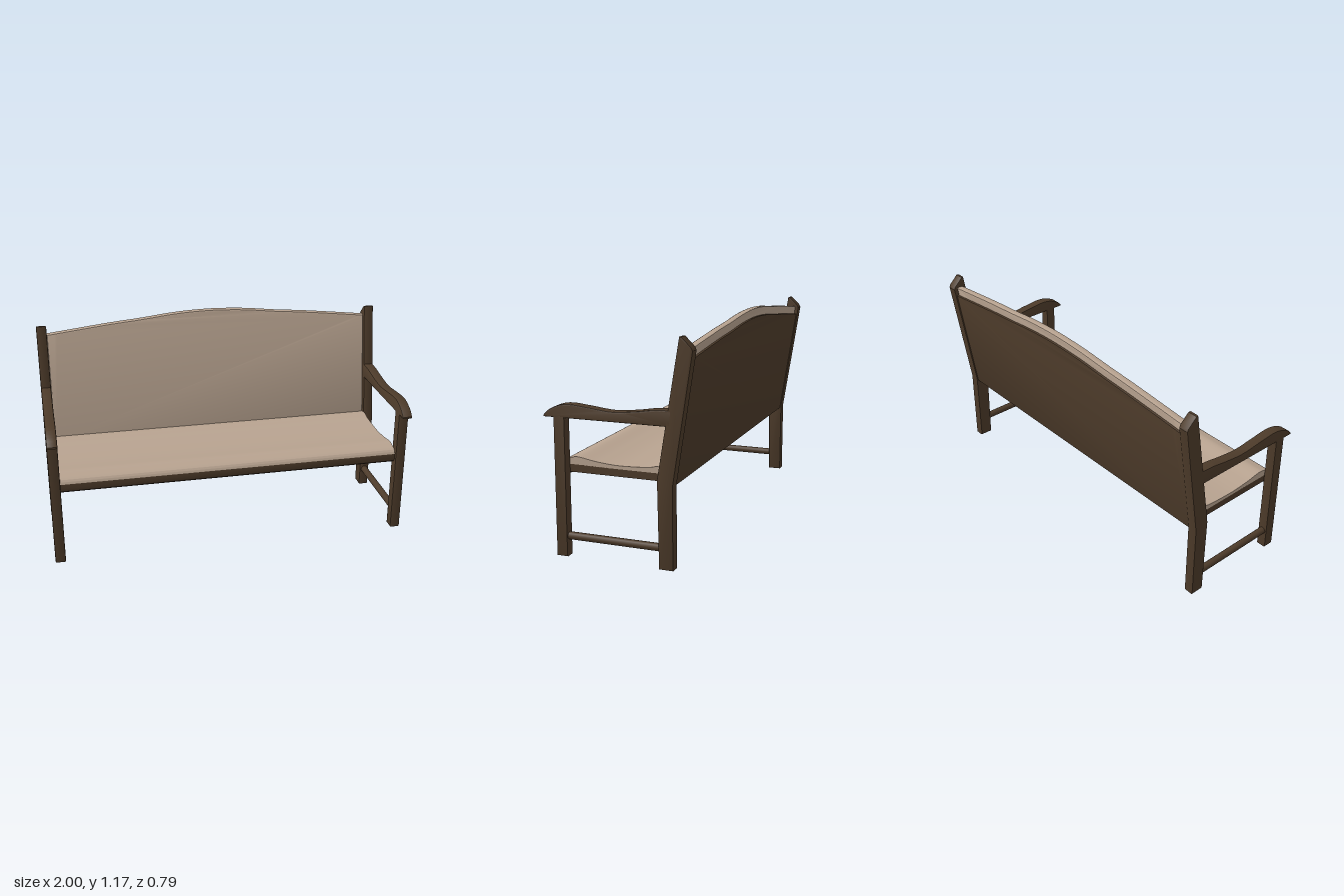
import * as THREE from 'three';
import { toCreasedNormals } from 'three/addons/utils/BufferGeometryUtils.js';

const WIDTH = 2, POST = 0.057, INNER = WIDTH / 2 - POST;
const LEAN = 0.153; // backward lean of the backrest per unit of height

const wood = new THREE.MeshStandardMaterial({ color: 0x4d3b2a });
wood.name = 'darkWood';
const fabric = new THREE.MeshStandardMaterial({ color: 0xb8a390 });
fabric.name = 'beigeFabric';

// Extrude a shape inside its outline with softened edges
function extrude(shape, depth, bevel) {
  const geometry = new THREE.ExtrudeGeometry(shape, {
    depth: depth - 2 * bevel, curveSegments: 20,
    bevelEnabled: bevel > 0, bevelThickness: bevel, bevelSize: bevel,
    bevelOffset: -bevel, bevelSegments: 2,
  });
  return geometry.translate(0, 0, bevel);
}

// Extrude a side profile given in (z, y) from x1 leftwards to x0
function sideExtrude(shape, x0, x1, bevel) {
  const geometry = extrude(shape, x1 - x0, bevel);
  geometry.rotateY(-Math.PI / 2).translate(x1, 0, 0);
  return toCreasedNormals(geometry, 0.6);
}

function polygon(points) {
  return new THREE.Shape(points.map(([z, y]) => new THREE.Vector2(z, y)));
}

// Smooth upper contour closed by straight lower corners
function contour(upper, lower) {
  const shape = new THREE.Shape();
  shape.moveTo(...upper[0]);
  shape.splineThru(upper.slice(1).map(([a, b]) => new THREE.Vector2(a, b)));
  lower.forEach(([a, b]) => shape.lineTo(a, b));
  shape.closePath();
  return shape;
}

function add(parent, name, geometry, material) {
  const mesh = new THREE.Mesh(geometry, material);
  mesh.name = name;
  parent.add(mesh);
  return mesh;
}

// Arched slab leaning backwards; front is its z at seat level
function backSlab(bottom, drop, front, thickness, bevel) {
  const half = [[0, 1.175], [0.2, 1.167], [0.4, 1.146], [0.6, 1.128], [INNER, 1.09]];
  const arch = [
    ...half.slice(1).reverse().map(([x, y]) => [-x, y - drop]),
    ...half.map(([x, y]) => [x, y - drop]),
  ];
  const geometry = extrude(contour(arch, [[INNER, bottom], [-INNER, bottom]]), thickness, bevel);
  geometry.translate(0, 0, front - thickness);
  const p = geometry.attributes.position;
  for (let i = 0; i < p.count; i++) {
    p.setZ(i, p.getZ(i) - (p.getY(i) - 0.43) * LEAN);
  }
  return toCreasedNormals(geometry, 0.6);
}

export function createModel() {
  const bench = new THREE.Group();
  bench.name = 'bench';

  const frontLeg = polygon([[0.28, 0], [0.34, 0], [0.34, 0.725], [0.28, 0.725]]);
  const rearPost = polygon([
    [-0.29, 0], [-0.215, 0], [-0.207, 0.45], [-0.322, 1.145],
    [-0.335, 1.145], [-0.383, 1.098], [-0.391, 1.082], [-0.29, 0.43],
  ]);
  const armrest = contour([
    [0.395, 0.725], [0.36, 0.756], [0.3, 0.781], [0.24, 0.787], [0.15, 0.779],
    [0.02, 0.767], [-0.1, 0.778], [-0.19, 0.792], [-0.28, 0.797],
  ], [[-0.28, 0.715], [0.395, 0.715]]);

  // End frames: legs, armrest and stretcher on each side
  for (const [name, x0, x1] of [['left', INNER, 1], ['right', -1, -INNER]]) {
    const frame = new THREE.Group();
    frame.name = name + 'EndFrame';
    add(frame, 'frontLeg', sideExtrude(frontLeg, x0, x1, 0.006), wood);
    add(frame, 'rearPost', sideExtrude(rearPost, x0, x1, 0.006), wood);
    add(frame, 'armrest', sideExtrude(armrest, x0, x1, 0.008), wood);
    const stretcher = new THREE.CylinderGeometry(0.02, 0.02, 0.53, 16);
    stretcher.rotateX(Math.PI / 2).translate((x0 + x1) / 2, 0.105, 0.035);
    add(frame, 'stretcher', stretcher, wood);
    bench.add(frame);
  }

  // Seat board with a deeper front rail
  const board = polygon([
    [-0.27, 0.43], [0.285, 0.43], [0.292, 0.417], [0.308, 0.415],
    [0.32, 0.425], [0.325, 0.445], [0.322, 0.47], [-0.27, 0.47],
  ]);
  add(bench, 'seatBoard', sideExtrude(board, -INNER, INNER, 0), wood);

  // Seat cushion with a shallow dip and rolled front
  const cushion = contour([
    [0.324, 0.47], [0.312, 0.49], [0.28, 0.503], [0.235, 0.51], [0.14, 0.495],
    [0.02, 0.486], [-0.13, 0.492], [-0.19, 0.502], [-0.25, 0.495],
  ], [[-0.25, 0.468], [0.324, 0.468]]);
  add(bench, 'seatCushion', sideExtrude(cushion, -INNER, INNER, 0), fabric);

  // Arched backrest: fabric in front, wooden panel behind
  add(bench, 'backCushion', backSlab(0.46, 0, -0.229, 0.043, 0.008), fabric);
  add(bench, 'backPanel', backSlab(0.415, 0.048, -0.26, 0.025, 0.006), wood);

  return bench;
}
